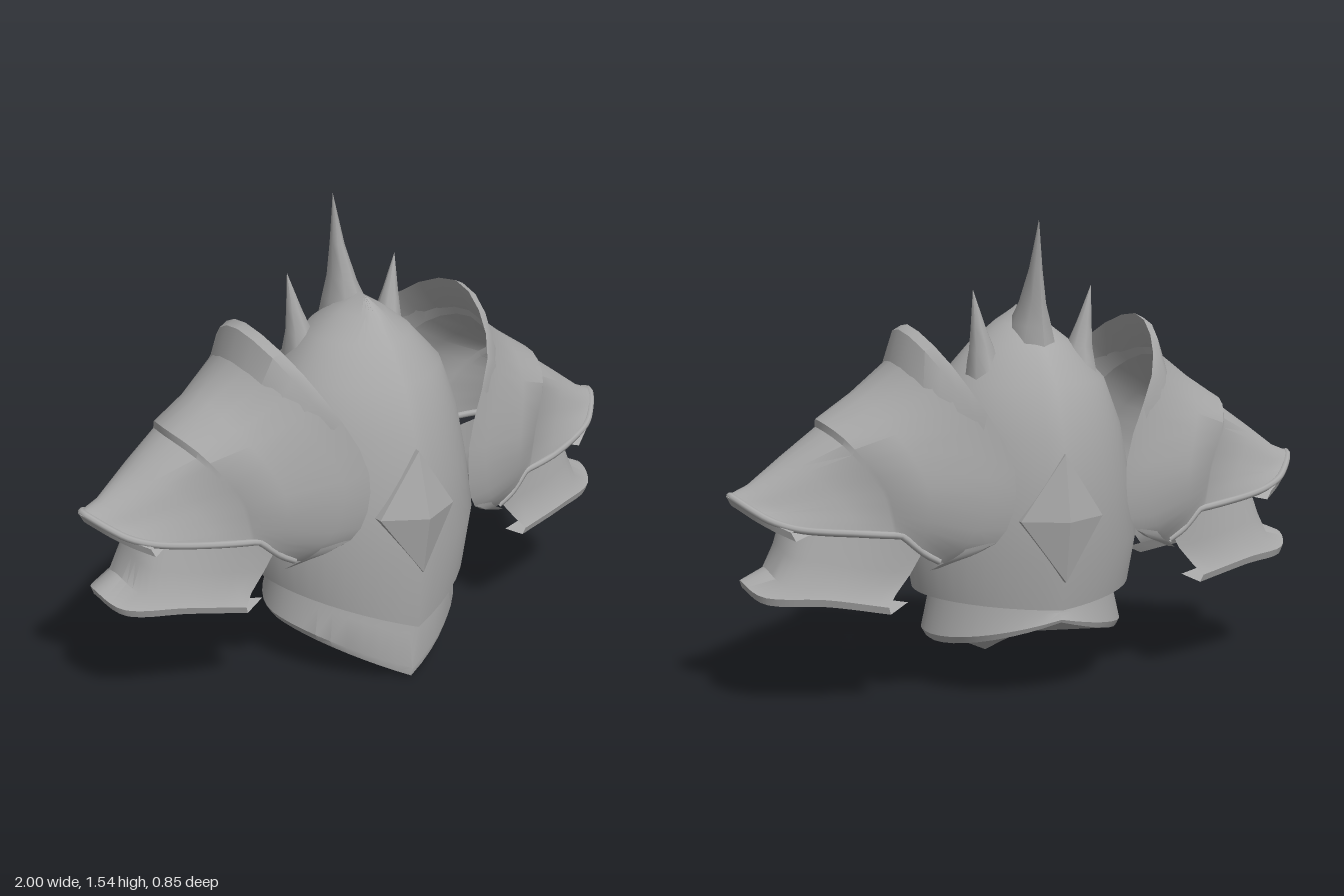
import * as THREE from 'three';
import { toCreasedNormals } from 'three/addons/utils/BufferGeometryUtils.js';

const V = (x, y, z) => new THREE.Vector3(x, y, z);
const steel = new THREE.MeshStandardMaterial({ color: 0xa8a8a8, side: THREE.DoubleSide });
steel.name = 'steel';

// Skins a list of equally long rows of points; flip reverses the facing.
function loft(rows, flip = false, crease = 0.7) {
  const n = rows[0].length, index = [];
  for (let i = 0; i < rows.length - 1; i++) {
    for (let j = 0; j < n - 1; j++) {
      const a = i * n + j, b = a + 1, c = a + n, d = c + 1;
      if (flip) index.push(a, b, c, b, d, c);
      else index.push(a, c, b, b, c, d);
    }
  }
  const geo = new THREE.BufferGeometry().setFromPoints(rows.flat());
  geo.setIndex(index);
  return toCreasedNormals(geo, crease);
}

function part(group, name, geo) {
  const mesh = new THREE.Mesh(geo, steel);
  mesh.name = name;
  group.add(mesh);
  return mesh;
}

// Ring around the body with a ridge at front and back, dipping to a V.
function bodyRing([w, zf, zb, yf, ys, yb]) {
  const row = [];
  for (let i = 0; i <= 40; i++) {
    const a = (i / 40) * Math.PI * 2, s = Math.sin(a), c = Math.cos(a);
    const v = 1 - Math.abs(s), k = 0.8 * Math.abs(c) + 0.2 * v;
    row.push(V(w * s, ys + ((c > 0 ? yf : yb) - ys) * v, (c > 0 ? zf : zb) * k));
  }
  return row;
}

// Arch from front to back, given its points from the crown to the front end.
function arch(half, side, steps = 28) {
  const pts = [...half.slice().reverse(), ...half.slice(1).map(([x, y, z]) => [x, y, -z])];
  const curve = new THREE.CatmullRomCurve3(pts.map(([x, y, z]) => V(x * side, y, z - 0.03)));
  return curve.getPoints(steps);
}

const shift = (half, dx, dy, kz = 1) => half.map(([x, y, z]) => [x + dx, y + dy, z * kz]);

// Spike from sections: y, centre x, half width, front z, back z.
function spike(sections) {
  return loft(sections.map(([y, x, w, zf, zb]) => {
    const row = [];
    for (let i = 0; i <= 8; i++) {
      const a = (i / 8) * Math.PI * 2;
      row.push(V(x + w * Math.sin(a), y, (zf + zb) / 2 + (zf - zb) / 2 * Math.cos(a)));
    }
    return row;
  }), true, 0.9);
}

// Raised four-sided boss, on the front or back.
function boss(peak, top, side, bottom, dir) {
  const ring = (grow, back) => [[0, 0.82, top], [0.14, 0.61, side], [0, 0.41, bottom], [-0.14, 0.61, side], [0, 0.82, top]]
    .map(([x, y, z]) => V(x * grow, 0.61 + (y - 0.61) * grow, (z - back) * dir));
  const tip = ring(1, 0).map(() => V(0, 0.61, peak * dir));
  return loft([tip, ring(1, 0), ring(1.03, 0.05)], dir < 0, 0.2);
}

// Upper shoulder shell, collar to outer tip: crown, shoulder, side, low, end.
const shell = [
  [[0.40, 1.21, 0], [0.33, 1.08, 0.285], [0.19, 0.79, 0.39], [0.225, 0.58, 0.37], [0.37, 0.49, 0.28]],
  [[0.45, 1.10, 0], [0.40, 1.00, 0.26], [0.27, 0.77, 0.37], [0.31, 0.58, 0.35], [0.41, 0.50, 0.28]],
  [[0.58, 1.00, 0], [0.53, 0.92, 0.21], [0.45, 0.75, 0.32], [0.45, 0.62, 0.315], [0.46, 0.53, 0.28]],
  [[0.70, 0.92, 0], [0.65, 0.87, 0.17], [0.56, 0.73, 0.255], [0.54, 0.65, 0.265], [0.53, 0.59, 0.265]],
  [[0.70, 0.895, 0], [0.655, 0.85, 0.165], [0.57, 0.725, 0.245], [0.55, 0.65, 0.258], [0.54, 0.59, 0.262]],
  [[0.82, 0.81, 0], [0.78, 0.79, 0.11], [0.70, 0.71, 0.19], [0.66, 0.645, 0.225], [0.66, 0.60, 0.235]],
  [[0.93, 0.73, 0], [0.91, 0.71, 0.06], [0.86, 0.67, 0.11], [0.83, 0.635, 0.145], [0.82, 0.61, 0.16]],
  [[1.00, 0.70, 0], [0.985, 0.69, 0.035], [0.95, 0.665, 0.08], [0.90, 0.635, 0.125], [0.84, 0.605, 0.165]],
];

// Lower shoulder plate, top to flared hem: crown to front end.
const lower = [
  [[0.81, 0.66, 0], [0.78, 0.64, 0.09], [0.66, 0.61, 0.17], [0.42, 0.54, 0.22]],
  [[0.84, 0.53, 0], [0.82, 0.51, 0.11], [0.69, 0.49, 0.18], [0.47, 0.45, 0.21]],
  [[0.88, 0.46, 0], [0.85, 0.43, 0.12], [0.71, 0.42, 0.19], [0.52, 0.39, 0.215]],
  [[0.96, 0.425, 0], [0.92, 0.395, 0.11], [0.74, 0.39, 0.20], [0.55, 0.355, 0.235]],
];

function shoulder(side) {
  const group = new THREE.Group();
  group.name = side > 0 ? 'leftShoulder' : 'rightShoulder';
  const last = shell[shell.length - 1];
  const rows = [
    shift(shell[1], 0.015, -0.03, 0.95), shift(shell[0], 0.03, -0.015, 0.97),
    ...shell, shift(last, -0.015, -0.03), shift(last, -0.07, -0.02, 0.8),
  ];
  part(group, 'shoulderShell', loft(rows.map(r => arch(r, side)), side < 0, 0.6));

  // Rolled edge along the underside
  const ends = shell.slice(1, 7).map(r => r[4]);
  const hem = arch([...last.slice(0, 4), ...ends.reverse()], side, 40);
  part(group, 'rolledEdge', new THREE.TubeGeometry(new THREE.CatmullRomCurve3(hem.map(p => p.add(V(-0.012 * side, 0, 0)))), 70, 0.012, 8));

  const end = lower[lower.length - 1];
  const plate = [...lower, shift(end, -0.008, -0.025, 0.97), shift(end, -0.07, 0.005, 0.9)];
  part(group, 'lowerShoulderPlate', loft(plate.map(r => arch(r, side)), side < 0, 0.6));
  return group;
}

export function createModel() {
  const model = new THREE.Group();
  model.name = 'chestArmour';

  // Domed breastplate: half width, front z, back z, then front, side, back y
  part(model, 'breastplate', loft([
    [0, 0.04, 0.04, 1.25, 1.25, 1.25],
    [0.08, 0.12, -0.11, 1.20, 1.20, 1.20],
    [0.17, 0.19, -0.20, 1.12, 1.13, 1.14],
    [0.28, 0.27, -0.30, 1.01, 1.01, 1.03],
    [0.335, 0.33, -0.36, 0.86, 0.86, 0.87],
    [0.37, 0.365, -0.385, 0.68, 0.68, 0.68],
    [0.40, 0.385, -0.375, 0.45, 0.50, 0.47],
    [0.37, 0.365, -0.35, 0.20, 0.33, 0.31],
    [0.315, 0.315, -0.335, 0.225, 0.345, 0.315],
  ].map(bodyRing)));

  // Belly plate with a flared, closed bottom
  part(model, 'bellyPlate', loft([
    [0.30, 0.31, -0.33, 0.27, 0.38, 0.34],
    [0.32, 0.315, -0.335, 0.15, 0.28, 0.30],
    [0.34, 0.33, -0.35, 0.03, 0.19, 0.28],
    [0.325, 0.325, -0.345, 0.0, 0.165, 0.27],
    [0, 0, 0, 0.15, 0.15, 0.15],
  ].map(bodyRing), false, 0.6));

  part(model, 'frontBoss', boss(0.422, 0.355, 0.35, 0.39, 1));
  part(model, 'backBoss', boss(0.415, 0.375, 0.35, 0.385, -1));

  // Crest of three spikes
  part(model, 'centreSpike', spike([
    [1.10, 0, 0.085, 0.06, -0.21], [1.20, 0, 0.06, 0.02, -0.19], [1.27, 0, 0.036, -0.03, -0.178],
    [1.38, 0, 0.018, -0.095, -0.167], [1.54, 0, 0, -0.157, -0.157],
  ]));
  for (const s of [1, -1]) {
    part(model, s > 0 ? 'leftSpike' : 'rightSpike', spike([
      [1.02, s * 0.165, 0.065, -0.01, -0.17], [1.12, s * 0.17, 0.045, -0.045, -0.14],
      [1.20, s * 0.185, 0.025, -0.07, -0.125], [1.32, s * 0.205, 0, -0.105, -0.105],
    ]));
    model.add(shoulder(s));
  }
  return model;
}
